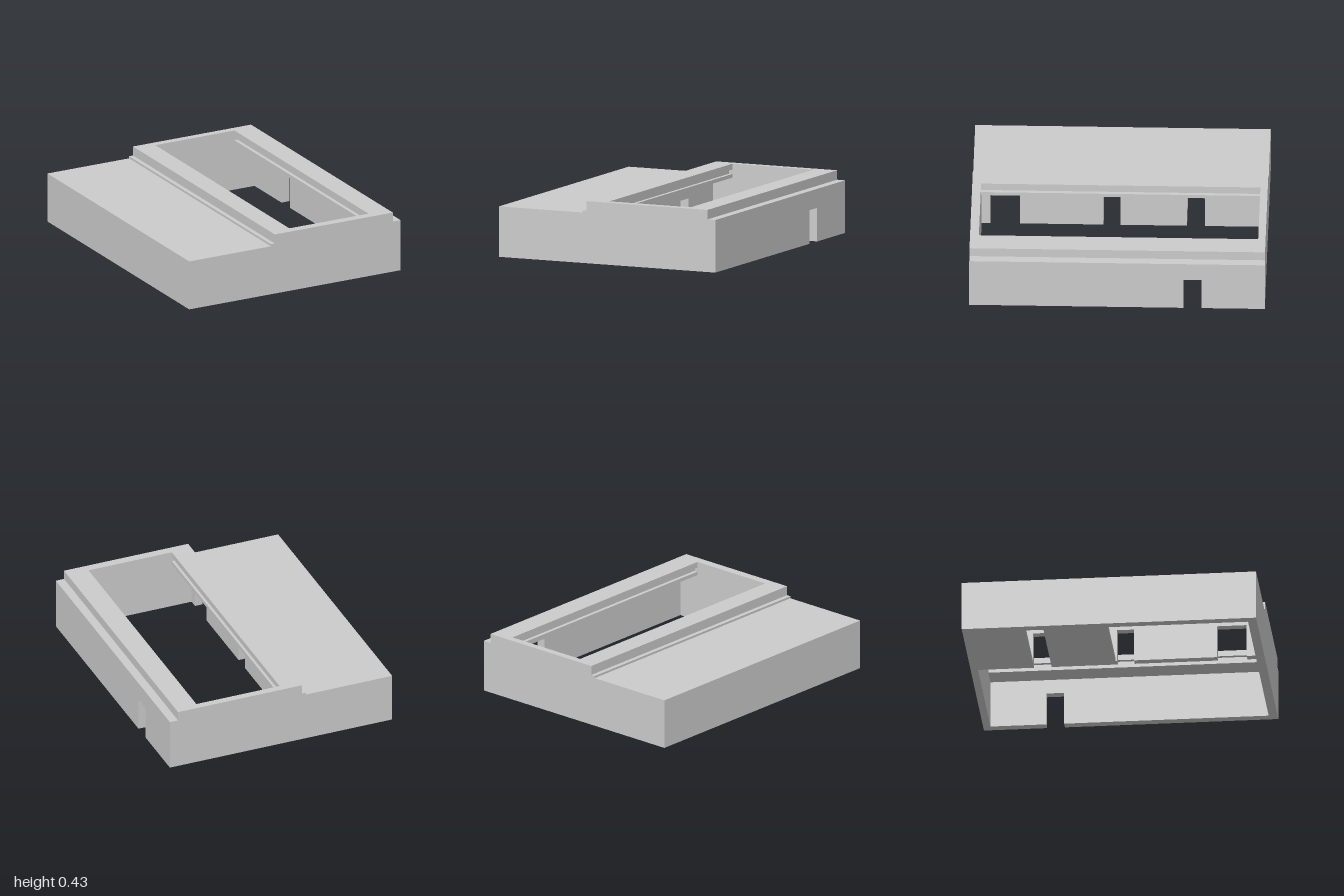
import * as THREE from 'three';

const BACK = -0.95, FRONT = 0.94, CEILING = 0.33;
const material = new THREE.MeshStandardMaterial({ color: 0xcccccc, flatShading: true });

const toShape = (points) => new THREE.Shape(points.map(([x, y]) => new THREE.Vector2(x, y)));

function addMesh(group, name, geometry) {
  const mesh = new THREE.Mesh(geometry, material);
  mesh.name = name;
  group.add(mesh);
}

// Cross-section in x and y, drawn out along z
function section(points, z0, z1) {
  const geometry = new THREE.ExtrudeGeometry(toShape(points), { depth: z1 - z0, bevelEnabled: false });
  return geometry.translate(0, 0, z0);
}

// Lengthwise wall with notches [zFront, zBack] cut up from its bottom edge
function notchedWall(x0, x1, notches, notchHeight) {
  const outline = [[-FRONT, 0]];
  for (const [zFront, zBack] of notches) {
    outline.push([-zFront, 0], [-zFront, notchHeight], [-zBack, notchHeight], [-zBack, 0]);
  }
  outline.push([-BACK, 0], [-BACK, CEILING], [-FRONT, CEILING]);
  const geometry = new THREE.ExtrudeGeometry(toShape(outline), { depth: x1 - x0, bevelEnabled: false });
  return geometry.rotateY(Math.PI / 2).translate(x0, 0, 0);
}

function floorPlate(z0, z1) {
  const geometry = new THREE.BoxGeometry(0.6, 0.02, z1 - z0);
  return geometry.translate(-0.455, 0.01, (z0 + z1) / 2);
}

// Opening edge, bottom to top, with a slide groove; dir points into the material
const groovedEdge = (x, dir) => [
  [x, CEILING], [x, 0.355], [x + dir * 0.025, 0.355],
  [x + dir * 0.025, 0.385], [x, 0.385], [x, 0.425],
];

export function createModel() {
  const model = new THREE.Group();
  model.name = 'steppedHousing';

  // Front and back walls share the stepped outline
  const leftStep = [[-0.155, 0.425], [-0.155, 0.36], [-0.185, 0.36], [-0.185, 0.345], [-0.815, 0.345]];
  const rightStep = [[0.755, 0.425], [0.755, 0.36], [0.815, 0.36]];
  const endOutline = [[-0.815, 0], [0.815, 0], ...[...rightStep].reverse(), ...leftStep];
  addMesh(model, 'frontWall', section(endOutline, FRONT, 1));
  addMesh(model, 'backWall', section(endOutline, -1, BACK));

  // Low side wall, low roof and the grooved rail beside the opening
  addMesh(model, 'lowRoofAndSideWall', section([
    [-0.815, 0], [-0.755, 0], [-0.755, CEILING], ...groovedEdge(-0.01, -1), ...leftStep,
  ], BACK, FRONT));

  // Opposite grooved rail with its outer ledge
  addMesh(model, 'highRail', section([
    ...groovedEdge(0.6, 1).reverse(), [0.815, CEILING], ...[...rightStep].reverse(),
  ], BACK, FRONT));

  // Notched walls
  addMesh(model, 'highSideWall', notchedWall(0.755, 0.815, [[-0.45, -0.57]], 0.23));
  addMesh(model, 'dividerWall',
    notchedWall(-0.21, -0.155, [[0.88, 0.68], [0.115, 0], [-0.45, -0.57]], 0.23));

  // Floor plates of the low compartment, with a channel between them
  addMesh(model, 'middleFloorPlate', floorPlate(-0.45, -0.01));
  addMesh(model, 'backFloorPlate', floorPlate(BACK, -0.57));

  return model;
}
